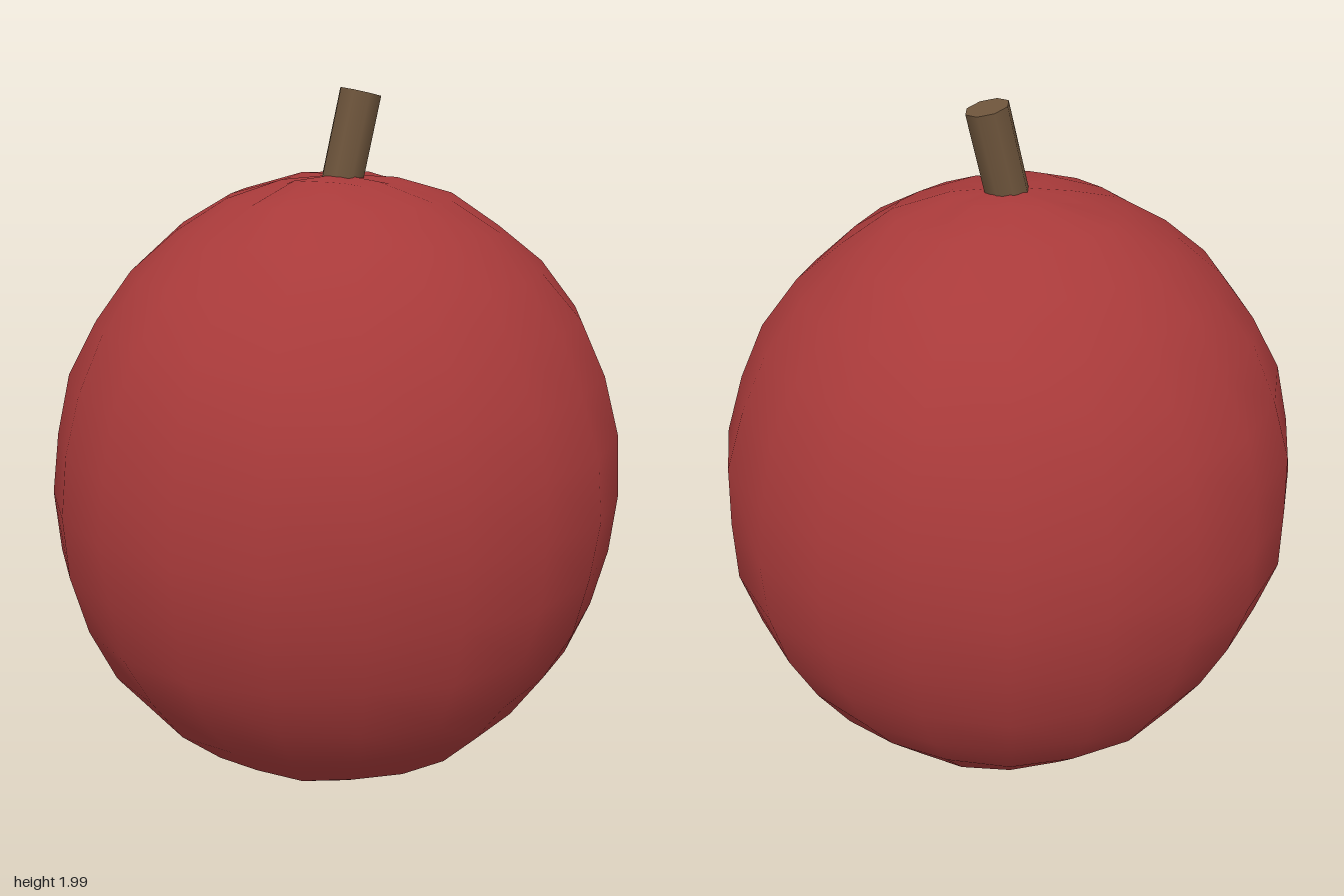
import * as THREE from 'three';
import { mergeVertices } from 'three/addons/utils/BufferGeometryUtils.js';

// small seeded random generator
function seeded(seed) {
  return () => {
    seed = (seed * 16807) % 2147483647;
    return seed / 2147483647;
  };
}

// slightly lumpy ellipsoid with smooth normals
function fruitGeometry() {
  let g = new THREE.SphereGeometry(1, 20, 16);
  g.deleteAttribute('uv');
  g.deleteAttribute('normal');
  g = mergeVertices(g, 1e-4);
  const random = seeded(37);
  const p = g.attributes.position;
  const v = new THREE.Vector3();
  for (let i = 0; i < p.count; i++) {
    v.fromBufferAttribute(p, i);
    const pole = Math.abs(v.y) > 0.999;
    const lump = pole ? 0.995 : 0.992 + 0.018 * random();
    p.setXYZ(i, v.x * lump * 0.82, v.y * lump * 0.885, v.z * lump * 0.76);
  }
  g.computeVertexNormals();
  return g;
}

export function createModel() {
  const red = new THREE.MeshStandardMaterial({ color: 0xa83a3a });
  red.name = 'fruit red';
  const brown = new THREE.MeshStandardMaterial({ color: 0x6e553c });
  brown.name = 'stem brown';

  const group = new THREE.Group();
  group.name = 'fruit';

  // round body
  const body = new THREE.Mesh(fruitGeometry(), red);
  body.name = 'body';
  body.position.y = 0.888;
  group.add(body);

  // leaning stem, sunk into the crown
  const stem = new THREE.Mesh(new THREE.CylinderGeometry(0.06, 0.06, 0.28, 8), brown);
  stem.name = 'stem';
  stem.position.set(0.031, 1.85, 0);
  stem.rotation.z = -0.23;
  group.add(stem);

  return group;
}
